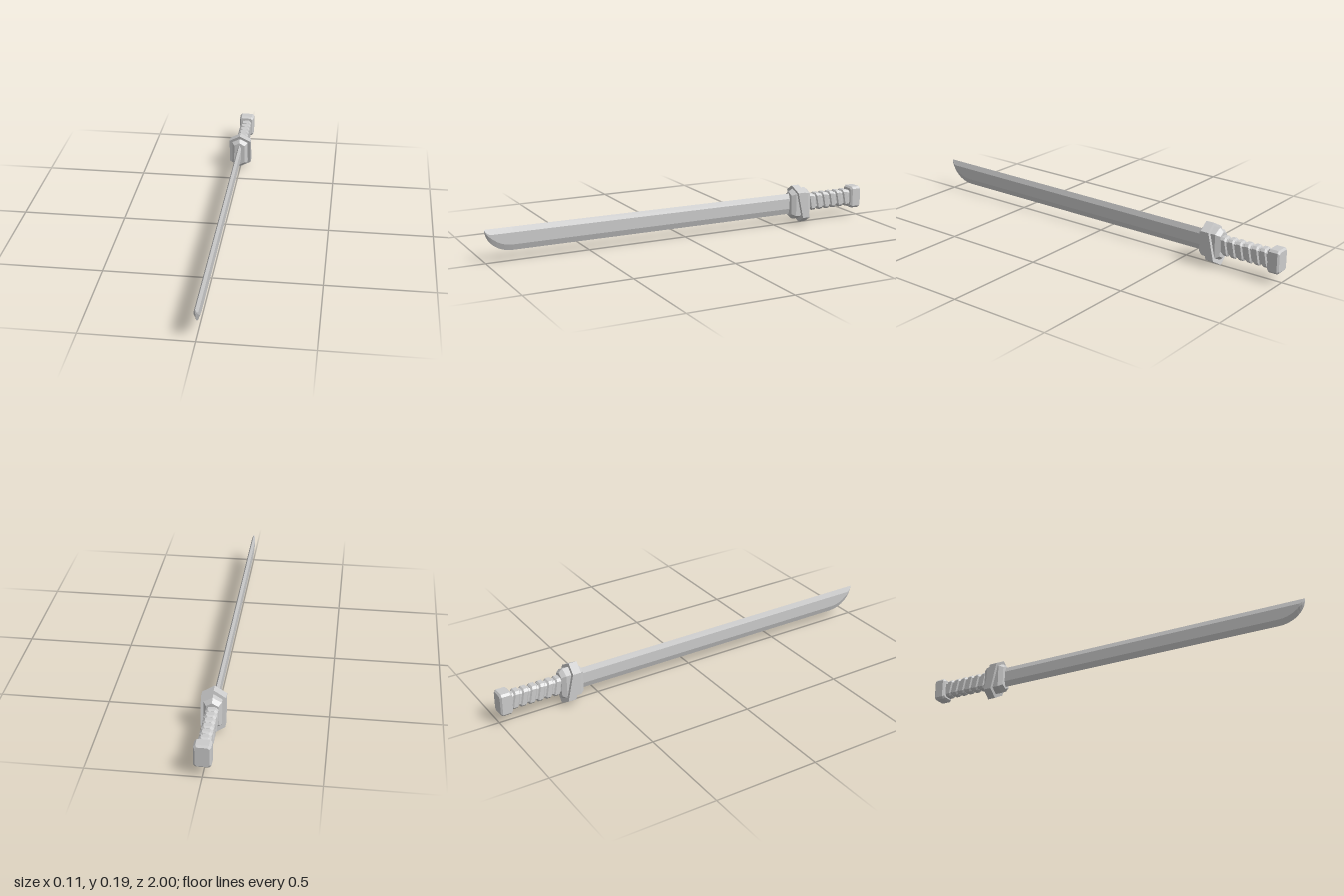
import * as THREE from 'three';

const material = new THREE.MeshStandardMaterial({ color: 0xcccccc, flatShading: true, side: THREE.DoubleSide });

// Skins closed cross-sections (counter-clockwise, ordered by growing z) and caps both ends.
function loft(name, sections) {
  const pos = [];
  const tri = (...pts) => pts.forEach((p) => pos.push(p[0], p[1], p[2]));
  const n = sections[0].length;
  for (let s = 0; s < sections.length - 1; s++) {
    const a = sections[s], b = sections[s + 1];
    for (let i = 0; i < n; i++) {
      const j = (i + 1) % n;
      tri(a[i], a[j], b[j]);
      tri(a[i], b[j], b[i]);
    }
  }
  const first = sections[0], last = sections[sections.length - 1];
  for (let i = 1; i < n - 1; i++) {
    tri(first[0], first[i + 1], first[i]);
    tri(last[0], last[i], last[i + 1]);
  }
  const geometry = new THREE.BufferGeometry();
  geometry.setAttribute('position', new THREE.Float32BufferAttribute(pos, 3));
  geometry.computeVertexNormals();
  const mesh = new THREE.Mesh(geometry, material);
  mesh.name = name;
  return mesh;
}

// Upright hexagon with a point at top and bottom; slant leans it along z.
function hexagon(z, w, bottom, low, high, top, slant = 0) {
  return [[0, bottom], [w, low], [w, high], [0, top], [-w, high], [-w, low]]
    .map(([x, y]) => [x, y, z + slant * (y - 0.1)]);
}

// Rectangle with chamfered corners, centred on the grip axis.
function chamfered(z, w, h, c, slant = 0) {
  return [[w - c, -h], [w, c - h], [w, h - c], [w - c, h], [c - w, h], [-w, h - c], [-w, c - h], [c - w, -h]]
    .map(([x, y]) => [x, y + 0.101, z + slant * y]);
}

export function createModel() {
  const sword = new THREE.Group();
  sword.name = 'sword';

  // Blade: long hexagonal bar whose edge sweeps up to the tip
  const bladeSection = (z) => {
    const t = Math.max(0, (z - 0.87) / 0.13);
    const top = 0.1545 + 0.0025 * z;
    const bottom = 0.048 + (top - 0.049) * (1 - Math.sqrt(Math.max(0, 1 - t * t)));
    const height = top - bottom;
    const high = top - Math.min(0.025, height * 0.4);
    const low = bottom + Math.min(0.028, height * 0.4);
    return hexagon(z, 0.01 * Math.min(1, height / 0.06), bottom, low, high, top);
  };
  const stations = [-0.62, 0.87];
  for (let i = 1; i <= 10; i++) stations.push(0.87 + 0.13 * Math.sin((i / 10) * Math.PI / 2));
  sword.add(loft('blade', stations.map(bladeSection)));

  // Guard: bevelled block with a leaning collar around it
  const small = [0.027, 0.037, 0.052, 0.147, 0.162];
  const large = [0.04, 0.02, 0.042, 0.156, 0.178];
  sword.add(loft('guardBlock', [
    hexagon(-0.696, ...small), hexagon(-0.676, ...large),
    hexagon(-0.607, ...large), hexagon(-0.586, ...small),
  ]));
  const collar = [0.055, 0, 0.032, 0.163, 0.194, 0.23];
  sword.add(loft('guardCollar', [hexagon(-0.664, ...collar), hexagon(-0.624, ...collar)]));

  // Grip core and its slanted wrapping bands
  sword.add(loft('gripCore', [chamfered(-0.95, 0.022, 0.036, 0.01), chamfered(-0.685, 0.022, 0.036, 0.01)]));
  for (let i = 0; i < 6; i++) {
    const z = -0.918 + i * 0.041;
    sword.add(loft('gripBand', [[-0.016, 0], [-0.01, 0.006], [0.01, 0.006], [0.016, 0]].map(
      ([dz, grow]) => chamfered(z + dz, 0.022 + grow, 0.037 + grow, 0.011, 0.2))));
  }

  // Pommel: block with softened edges
  sword.add(loft('pommel', [
    chamfered(-1, 0.031, 0.047, 0.008), chamfered(-0.992, 0.038, 0.055, 0.01),
    chamfered(-0.95, 0.038, 0.055, 0.01), chamfered(-0.941, 0.031, 0.047, 0.008),
  ]));

  return sword;
}
